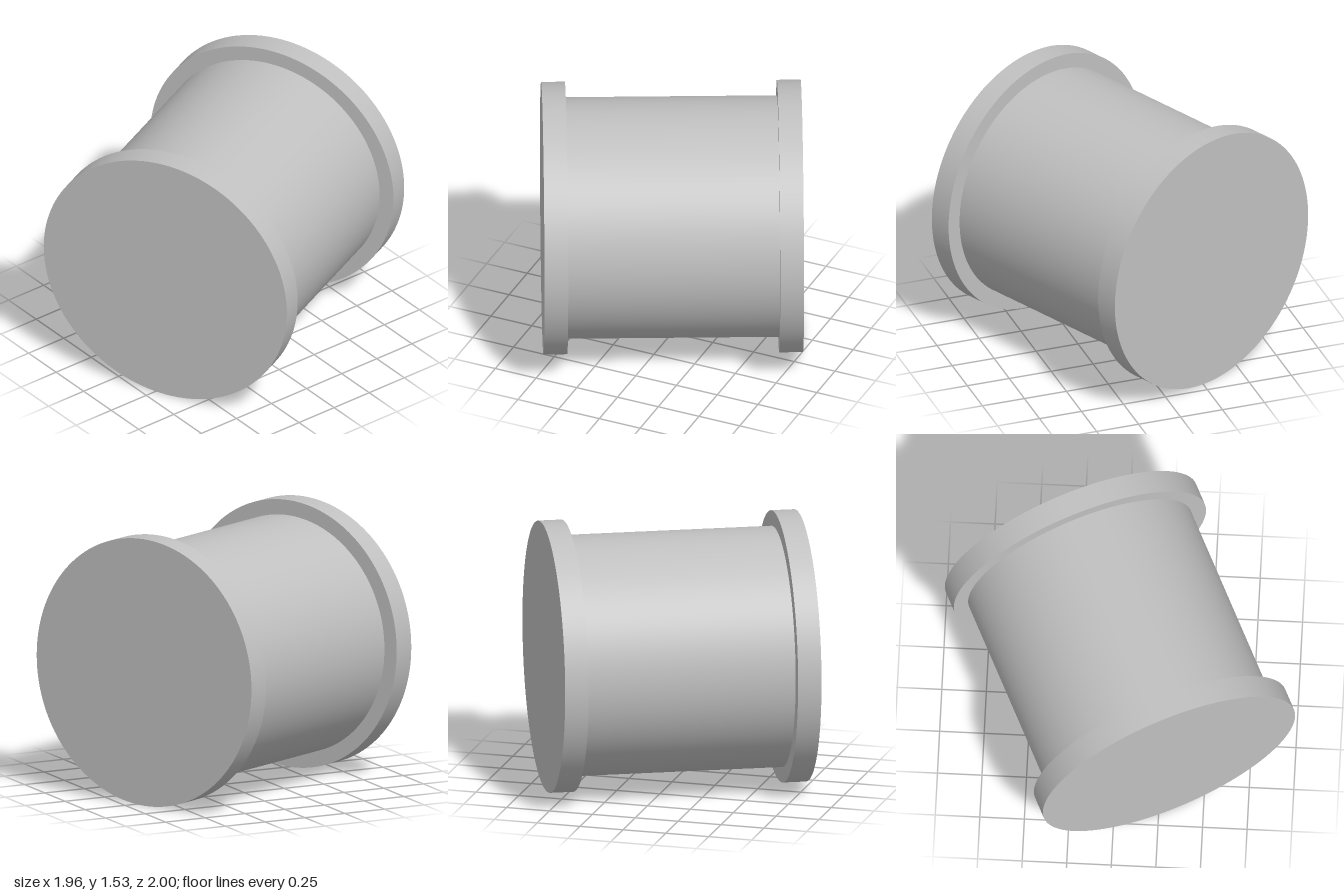
import * as THREE from 'three';

const TILT = THREE.MathUtils.degToRad(25); // heading of the spool axis
const LENGTH = 1.455;
const FLANGE_RADIUS = 0.764;
const FLANGE_THICKNESS = 0.133;
const DRUM_RADIUS = 0.677;

export function createModel() {
  const model = new THREE.Group();
  model.name = 'spool';
  const grey = new THREE.MeshStandardMaterial({ color: 0xc0c0c0 });
  grey.name = 'light grey';

  // Cylinder lying along x
  const addDisc = (name, radius, length, x) => {
    const geometry = new THREE.CylinderGeometry(radius, radius, length, 128);
    geometry.rotateZ(Math.PI / 2);
    const mesh = new THREE.Mesh(geometry, grey);
    mesh.name = name;
    mesh.position.x = x;
    spool.add(mesh);
  };

  const spool = new THREE.Group();
  spool.name = 'spoolBody';
  spool.position.y = FLANGE_RADIUS;
  spool.rotation.y = TILT;
  model.add(spool);

  // Drum between the two end flanges
  addDisc('drum', DRUM_RADIUS, LENGTH - 2 * FLANGE_THICKNESS, 0);
  const flangeX = (LENGTH - FLANGE_THICKNESS) / 2;
  addDisc('leftFlange', FLANGE_RADIUS, FLANGE_THICKNESS, flangeX);
  addDisc('rightFlange', FLANGE_RADIUS, FLANGE_THICKNESS, -flangeX);

  return model;
}
